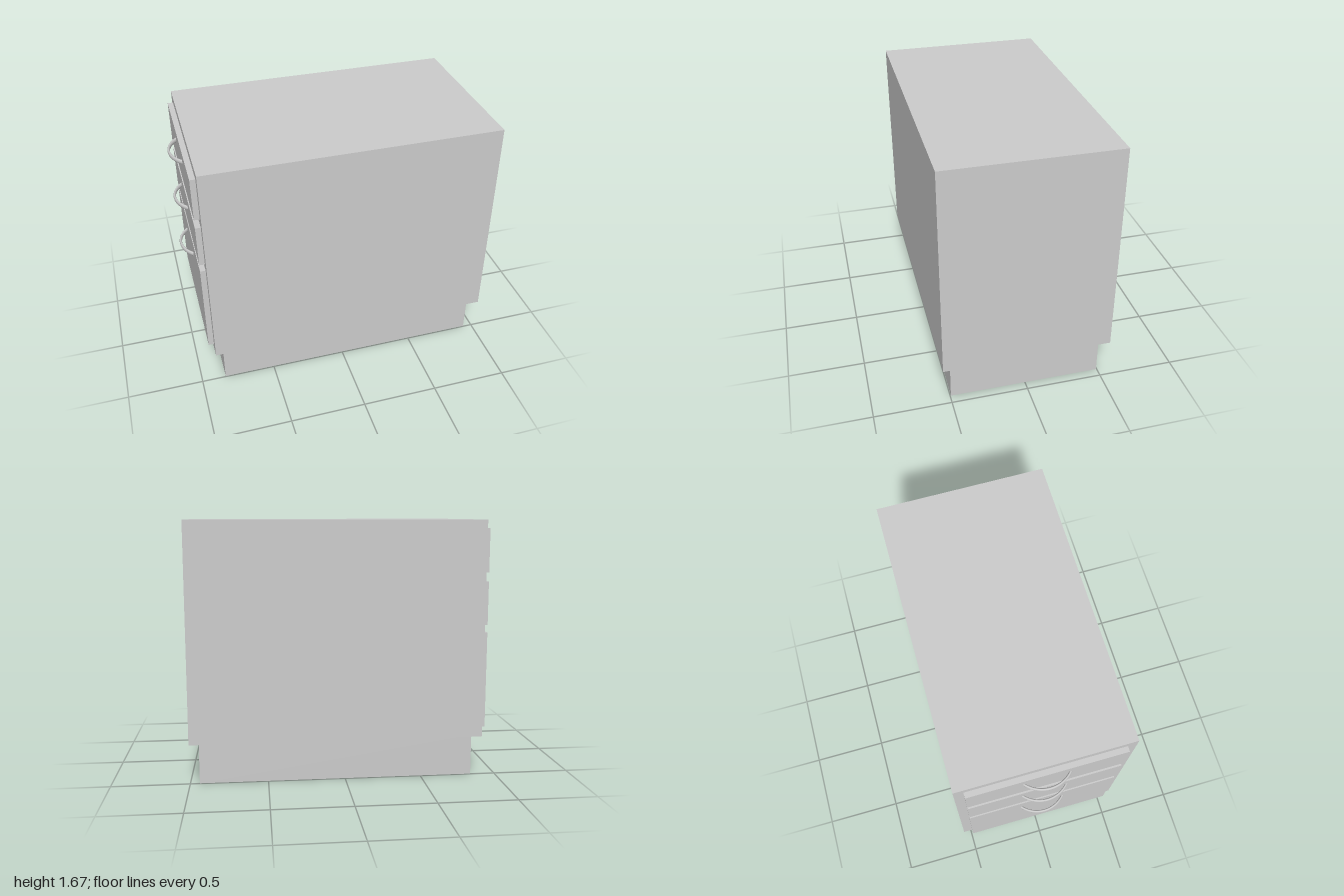
import * as THREE from 'three';

const material = new THREE.MeshStandardMaterial({ color: 0xcccccc });

// Box given by its minimum and maximum on each axis
function box(name, [x0, x1], [y0, y1], [z0, z1]) {
  const mesh = new THREE.Mesh(new THREE.BoxGeometry(x1 - x0, y1 - y0, z1 - z0), material);
  mesh.position.set((x0 + x1) / 2, (y0 + y1) / 2, (z0 + z1) / 2);
  mesh.name = name;
  return mesh;
}

// Shallow arc pull: a tube flattened into a taller oval section
function handle(y) {
  const radius = 0.19, sweep = 0.9, tube = 0.008;
  const points = [];
  for (let i = 0; i <= 12; i++) {
    const a = sweep * (i / 6 - 1);
    points.push(new THREE.Vector3(-radius * Math.cos(a), 0, radius * Math.sin(a)));
  }
  const curve = new THREE.CatmullRomCurve3(points);
  const mesh = new THREE.Mesh(new THREE.TubeGeometry(curve, 32, tube, 12), material);
  mesh.scale.y = 1.9;
  mesh.position.set(-1 + radius + tube, y, 0);
  mesh.name = 'handle';
  return mesh;
}

export function createModel() {
  const group = new THREE.Group();
  group.name = 'drawerCabinet';

  // Recessed plinth and carcass
  group.add(box('plinth', [-0.84, 0.94], [0, 0.27], [-0.495, 0.495]));
  group.add(box('carcass', [-0.895, 1], [0.27, 1.675], [-0.55, 0.55]));

  // Two shallow drawers above one deep drawer, all facing -x
  const drawers = [
    { y: [1.34, 1.62], pull: 1.535 },
    { y: [1.0, 1.28], pull: 1.195 },
    { y: [0.32, 0.95], pull: 0.825 },
  ];
  for (const { y, pull } of drawers) {
    const drawer = new THREE.Group();
    drawer.name = 'drawer';
    drawer.add(box('drawerFront', [-0.93, -0.895], y, [-0.49, 0.49]), handle(pull));
    group.add(drawer);
  }
  return group;
}
